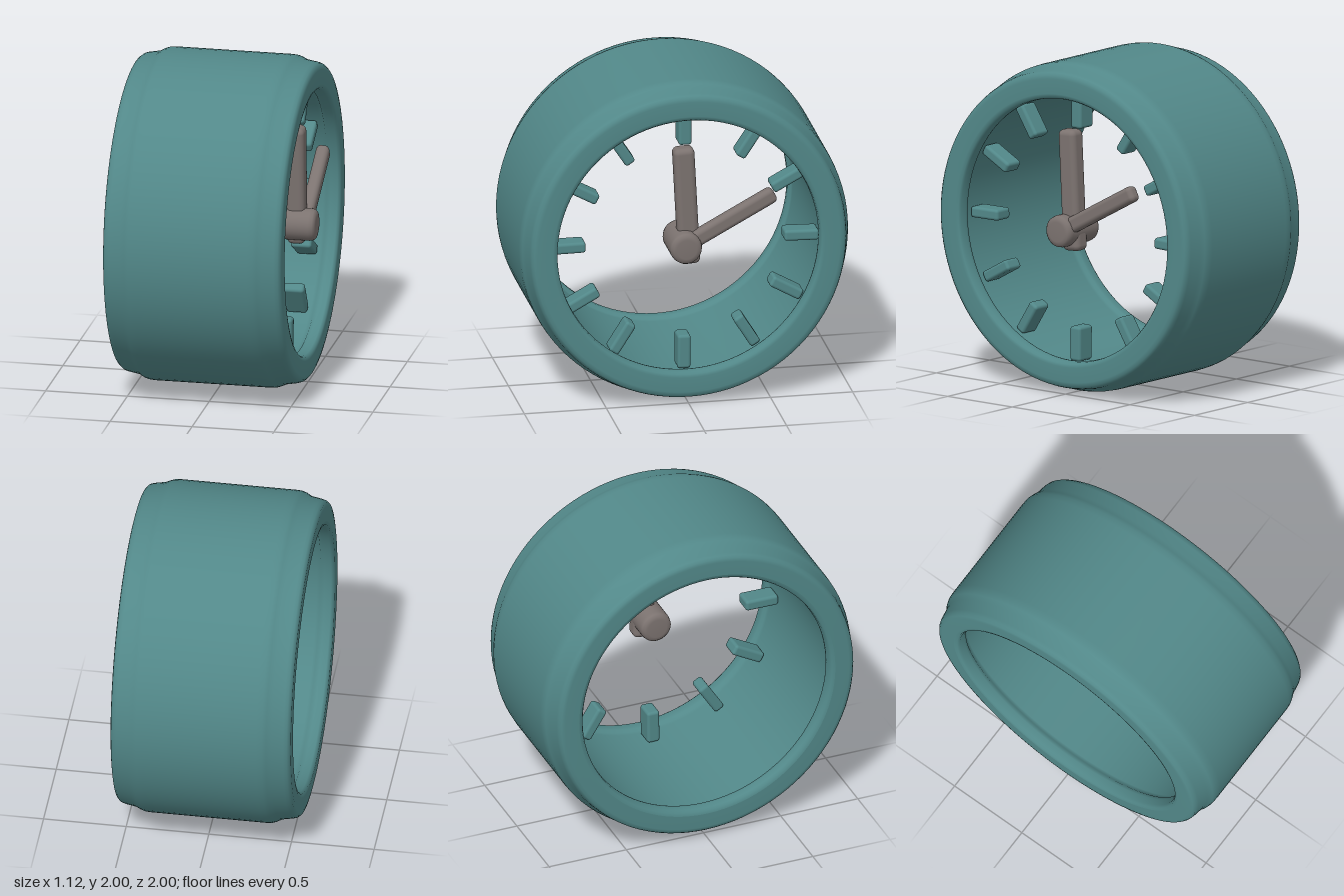
import * as THREE from 'three';
import { RoundedBoxGeometry } from 'three/addons/geometries/RoundedBoxGeometry.js';

const teal = new THREE.MeshStandardMaterial({ color: 0x528889 });
teal.name = 'teal';
const taupe = new THREE.MeshStandardMaterial({ color: 0x7c7370 });
taupe.name = 'warm grey';

// Profile of [x, radius] points turned about the x axis
function turned(name, points, segments, material) {
  const geo = new THREE.LatheGeometry(points.map(([x, r]) => new THREE.Vector2(r, x)), segments);
  geo.rotateZ(-Math.PI / 2);
  const mesh = new THREE.Mesh(geo, material);
  mesh.name = name;
  return mesh;
}

// Rounded bar in a plane of constant x, between two [z, y] points about the dial centre
function bar(name, x, depth, width, from, to, radius, material) {
  const dz = to[0] - from[0], dy = to[1] - from[1];
  const geo = new RoundedBoxGeometry(depth, Math.hypot(dz, dy), width, 3, radius);
  const mesh = new THREE.Mesh(geo, material);
  mesh.name = name;
  mesh.position.set(x, (from[1] + to[1]) / 2, (from[0] + to[0]) / 2);
  mesh.rotation.x = Math.atan2(dz, dy);
  return mesh;
}

export function createModel() {
  const clock = new THREE.Group();
  clock.name = 'clock';
  clock.position.y = 1;

  // Hollow case, open front and back, with a narrow rim at each end
  clock.add(turned('case', [
    [-0.56, 0.83], [-0.56, 0.92], [-0.555, 0.942], [-0.54, 0.954], [-0.52, 0.96],
    [-0.45, 0.972], [-0.42, 0.99], [-0.395, 0.998], [-0.36, 1],
    [0.33, 1], [0.365, 0.998], [0.39, 0.99], [0.42, 0.976],
    [0.49, 0.964], [0.512, 0.956], [0.525, 0.942], [0.53, 0.92],
    [0.53, 0.83], [0.525, 0.81], [0.51, 0.8], [0.47, 0.797], [0.45, 0.8], [0.44, 0.815],
    [0.42, 0.82], [-0.45, 0.82], [-0.47, 0.815], [-0.48, 0.8], [-0.5, 0.797],
    [-0.54, 0.8], [-0.555, 0.81], [-0.56, 0.83],
  ], 96, teal));

  // Hour marks around the inner wall
  const degrees = [0, 33.5, 61.5, 91.5, 119.5, 148, 180.5, 212.5, 241, 269.5, 298.5, 327];
  degrees.forEach((deg, i) => {
    const a = THREE.MathUtils.degToRad(deg);
    const at = (r) => [-Math.sin(a) * r, Math.cos(a) * r];
    const width = i % 6 === 0 ? 0.08 : 0.067;
    const outer = i === 1 ? 0.79 : 0.815;
    clock.add(bar('hourMark', 0.345, 0.125, width, at(0.605), at(outer), 0.018, teal));
  });

  // Hands
  clock.add(bar('minuteHand', 0.43, 0.11, 0.128, [-0.018, -0.13], [0.02, 0.605], 0.035, taupe));
  clock.add(bar('hourHand', 0.485, 0.08, 0.098, [0.02, 0], [-0.525, 0.295], 0.03, taupe));

  // Hub pin
  const hub = turned('hub', [
    [0.26, 0], [0.26, 0.06], [0.265, 0.08], [0.277, 0.093], [0.3, 0.098],
    [0.52, 0.098], [0.543, 0.093], [0.555, 0.08], [0.56, 0.06], [0.56, 0],
  ], 32, taupe);
  hub.position.z = 0.02;
  hub.position.y = -0.005;
  clock.add(hub);

  const model = new THREE.Group();
  model.name = 'wallClock';
  model.add(clock);
  return model;
}
